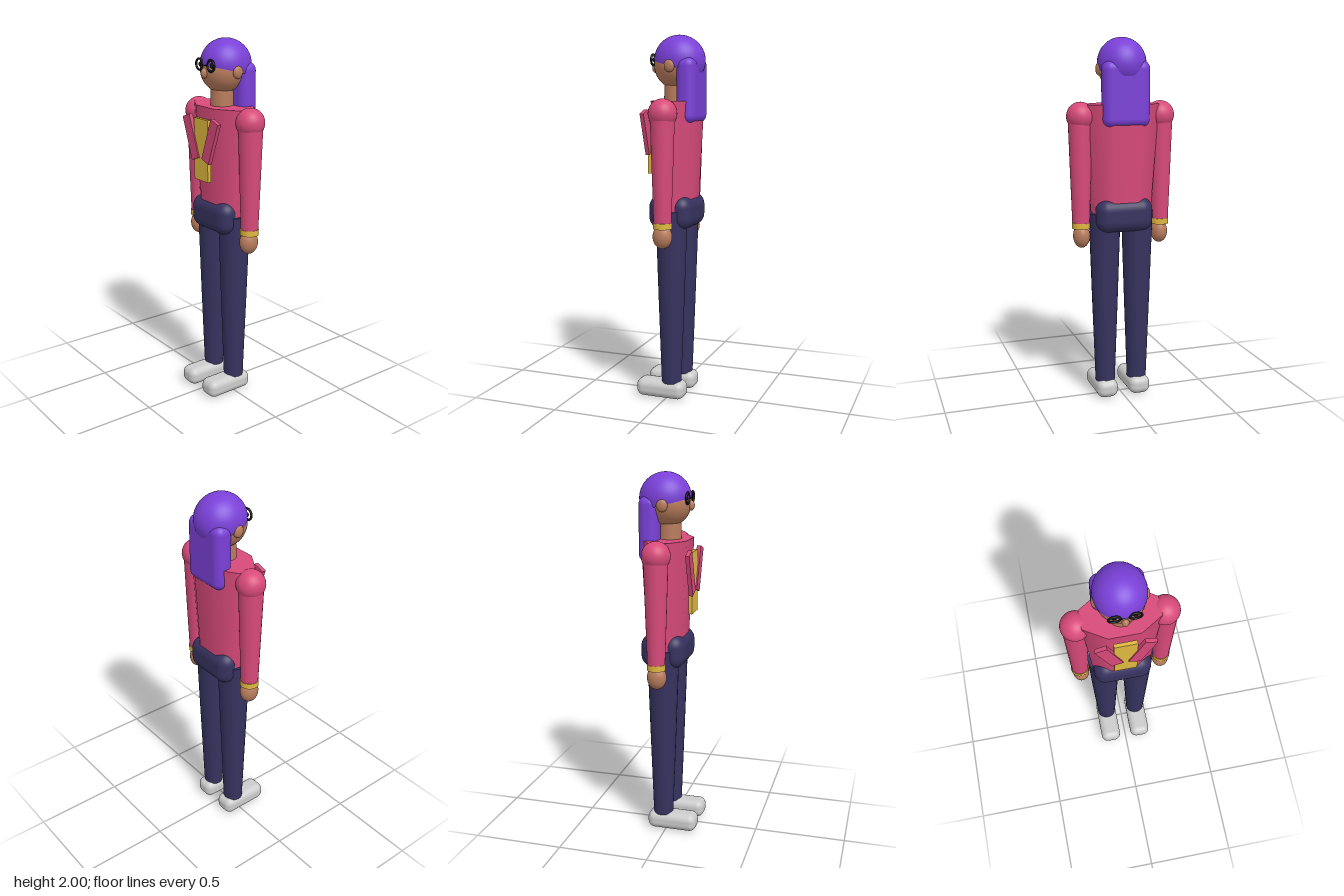
import * as THREE from 'three';
import { RoundedBoxGeometry } from 'three/addons/geometries/RoundedBoxGeometry.js';

const paint = (color) => new THREE.MeshStandardMaterial({ color });

export function createModel() {
  const model = new THREE.Group();
  const hair = paint(0x7a40d8), pink = paint(0xd84a7a), navy = paint(0x37325f);
  const gold = paint(0xe0b840), skin = paint(0xb87c5c), black = paint(0x111116), grey = paint(0xcccccc);

  function add(name, geometry, material, x, y, z, parent = model) {
    const mesh = new THREE.Mesh(geometry, material);
    mesh.name = name;
    mesh.position.set(x, y, z);
    parent.add(mesh);
    return mesh;
  }
  const ellipsoid = (rx, ry, rz) => new THREE.SphereGeometry(1, 32, 20).scale(rx, ry, rz);
  // Tapered limb spanning two heights
  const limb = (name, rTop, rBottom, yTop, yBottom, material, x, parent) =>
    add(name, new THREE.CylinderGeometry(rTop, rBottom, yTop - yBottom, 24), material,
      x, (yTop + yBottom) / 2, -0.022, parent);

  // Head
  const head = new THREE.Group();
  head.name = 'head';
  model.add(head);
  add('face', ellipsoid(0.121, 0.125, 0.12), skin, 0, 1.84, -0.015, head);
  add('nose', ellipsoid(0.018, 0.027, 0.02), skin, 0, 1.827, 0.105, head);
  const cap = add('hairCap', new THREE.SphereGeometry(1, 40, 24, 0, Math.PI * 2, 0, Math.PI * 0.58),
    hair, 0, 1.865, -0.035, head);
  cap.material = hair.clone();
  cap.material.side = THREE.DoubleSide;
  cap.scale.set(0.131, 0.135, 0.14);
  cap.rotation.x = -0.25;
  add('longHair', new RoundedBoxGeometry(0.262, 0.35, 0.105, 5, 0.045), hair, 0, 1.705, -0.103, head);
  add('neck', new THREE.CylinderGeometry(0.06, 0.064, 0.14, 24), skin, 0, 1.68, -0.01, head);

  // Glasses
  const glasses = new THREE.Group();
  glasses.name = 'glasses';
  head.add(glasses);
  const bridge = add('bridge', new THREE.CylinderGeometry(0.005, 0.005, 0.045, 10), black, 0, 1.868, 0.1, glasses);
  bridge.rotation.z = Math.PI / 2;

  // Torso: octagonal, tapering to the waist
  const torso = new THREE.CylinderGeometry(1, 0.8, 0.6, 8, 1, false, Math.PI / 8);
  add('jacket', torso.scale(0.216, 1, 0.135), pink, 0, 1.35, -0.022);
  add('shirt', new THREE.BoxGeometry(0.12, 0.335, 0.02), gold, 0, 1.422, 0.12);
  add('hips', new RoundedBoxGeometry(0.32, 0.185, 0.245, 6, 0.065), navy, 0, 1.05, -0.02);

  // Mirrored parts
  for (const s of [-1, 1]) {
    add('ear', ellipsoid(0.018, 0.035, 0.03), skin, s * 0.122, 1.835, -0.02, head);
    add('eye', ellipsoid(0.014, 0.014, 0.01), black, s * 0.05, 1.868, 0.092, head);
    add('glassesRim', new THREE.TorusGeometry(0.029, 0.006, 10, 28), black, s * 0.05, 1.868, 0.1, glasses);

    const lapel = add('lapel', new THREE.BoxGeometry(0.065, 0.24, 0.022), pink, s * 0.085, 1.48, 0.126);
    lapel.rotation.z = -s * 0.35;

    const arm = new THREE.Group();
    arm.name = s > 0 ? 'leftArm' : 'rightArm';
    model.add(arm);
    add('shoulder', ellipsoid(0.077, 0.077, 0.077), pink, s * 0.226, 1.587, -0.022, arm);
    limb('upperSleeve', 0.066, 0.056, 1.585, 1.265, pink, s * 0.229, arm);
    limb('lowerSleeve', 0.056, 0.047, 1.265, 1.0, pink, s * 0.229, arm);
    limb('cuff', 0.05, 0.05, 1.012, 0.98, gold, s * 0.229, arm);
    add('hand', ellipsoid(0.046, 0.065, 0.053), skin, s * 0.226, 0.936, -0.02, arm);

    const leg = new THREE.Group();
    leg.name = s > 0 ? 'leftLeg' : 'rightLeg';
    model.add(leg);
    limb('thigh', 0.088, 0.072, 1.06, 0.57, navy, s * 0.094, leg);
    limb('shin', 0.072, 0.055, 0.57, 0.09, navy, s * 0.094, leg);
    add('shoe', new RoundedBoxGeometry(0.12, 0.1, 0.28, 5, 0.04), grey, s * 0.095, 0.05, 0.035, leg);
  }
  return model;
}
